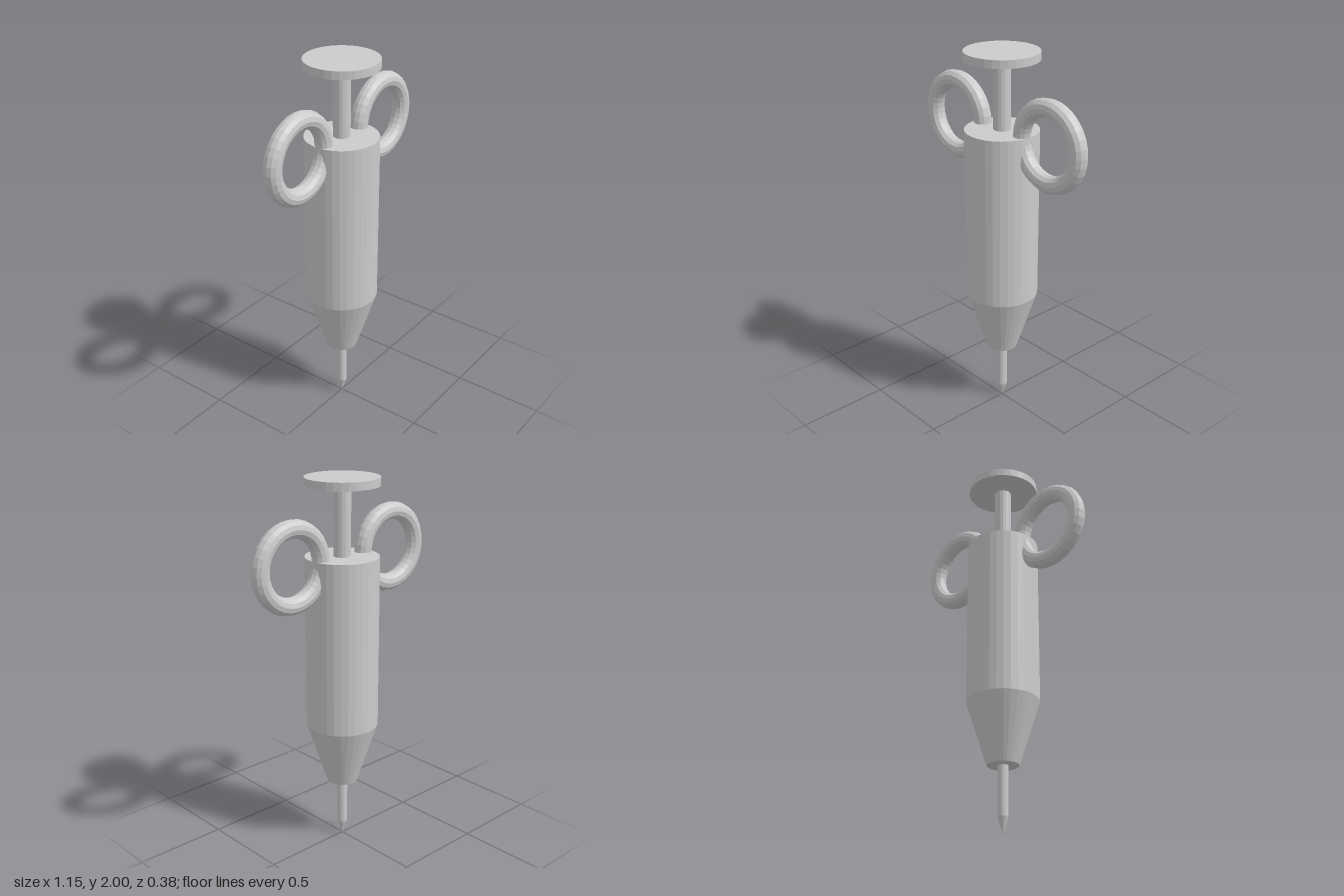
import * as THREE from 'three';

export function createModel() {
  const group = new THREE.Group();
  const material = new THREE.MeshStandardMaterial({ color: 0xcccccc, flatShading: true });

  const add = (name, geometry, x, y) => {
    const mesh = new THREE.Mesh(geometry, material);
    mesh.name = name;
    mesh.position.set(x, y, 0);
    group.add(mesh);
  };

  // Upright round section between two heights
  const round = (name, rTop, rBottom, y0, y1, sides) =>
    add(name, new THREE.CylinderGeometry(rTop, rBottom, y1 - y0, sides), 0, (y0 + y1) / 2);

  // Barrel and tapered nose
  round('barrel', 0.192, 0.192, 0.68, 1.6, 32);
  round('nose', 0.192, 0.083, 0.34, 0.68, 32);

  // Needle with a pointed tip
  round('needle', 0.028, 0.028, 0.08, 0.34, 16);
  round('needleTip', 0.028, 0.002, 0, 0.08, 16);

  // Plunger rod and thumb plate
  round('plungerRod', 0.045, 0.045, 1.58, 1.97, 16);
  round('thumbPlate', 0.192, 0.192, 1.958, 2, 32);

  // Finger rings, sunk into the barrel's upper edge
  for (const side of [1, -1]) {
    add(side > 0 ? 'leftFingerRing' : 'rightFingerRing',
      new THREE.TorusGeometry(0.192, 0.046, 12, 32), side * 0.338, 1.595);
  }

  return group;
}
